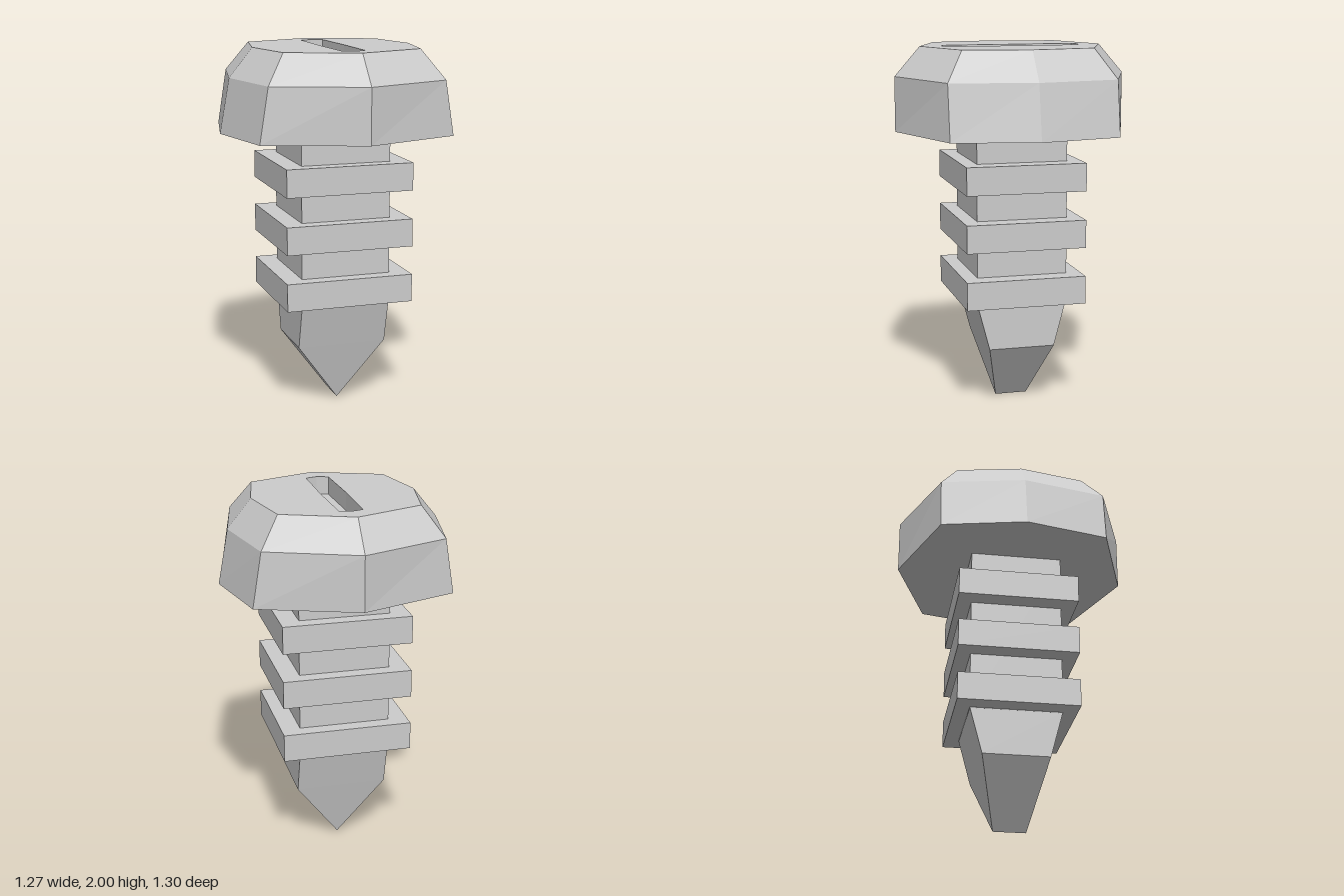
import * as THREE from 'three';

const material = new THREE.MeshStandardMaterial({ color: 0xcccccc, flatShading: true });

// Flat-faced loft through rings of [x, y, z], counter-clockwise from above.
// Rings running upward face outward; rings running downward make a cavity.
function loft(rings, capFirst, capLast) {
  const pos = [];
  const tri = (...corners) => {
    const [a, b, c] = corners.map((p) => new THREE.Vector3(...p));
    if (new THREE.Triangle(a, b, c).getArea() > 1e-7) pos.push(...corners.flat());
  };
  const n = rings[0].length;
  for (let r = 0; r < rings.length - 1; r++) {
    for (let i = 0; i < n; i++) {
      const j = (i + 1) % n, lo = rings[r], hi = rings[r + 1];
      tri(lo[i], lo[j], hi[j]);
      tri(lo[i], hi[j], hi[i]);
    }
  }
  const first = rings[0], last = rings[rings.length - 1];
  for (let i = 1; i < n - 1; i++) {
    if (capFirst) tri(first[0], first[i + 1], first[i]);
    if (capLast) tri(last[0], last[i], last[i + 1]);
  }
  const geo = new THREE.BufferGeometry();
  geo.setAttribute('position', new THREE.Float32BufferAttribute(pos, 3));
  geo.computeVertexNormals();
  return geo;
}

// Stretched octagon: side point x, corner (cx, cz), front point z
const octagon = (y, x, cx, cz, z) => [
  [x, y, 0], [cx, y, -cz], [0, y, -z], [-cx, y, -cz],
  [-x, y, 0], [-cx, y, cz], [0, y, z], [cx, y, cz],
];

const rectangle = (y, x, z) => [[x, y, z], [x, y, -z], [-x, y, -z], [-x, y, z]];

function addMesh(parent, name, geometry) {
  const mesh = new THREE.Mesh(geometry, material);
  mesh.name = name;
  parent.add(mesh);
  return mesh;
}

function addBlock(parent, name, width, depth, bottom, top) {
  const block = addMesh(parent, name, new THREE.BoxGeometry(width, top - bottom, depth));
  block.position.y = (bottom + top) / 2;
}

export function createModel() {
  const model = new THREE.Group();
  model.name = 'screw';

  // Faceted head with a slotted top
  const head = new THREE.Group();
  head.name = 'head';
  model.add(head);
  const rim = octagon(2, 0.45, 0.38, 0.358, 0.508);
  const slot = (y) => octagon(y, 0.07, 0.064, 0.368, 0.388);
  addMesh(head, 'headSides', loft([
    octagon(1.54, 0.635, 0.536, 0.457, 0.648),
    octagon(1.84, 0.58, 0.488, 0.457, 0.648),
    rim,
  ], true, false));

  const flat = (ring) => ring.map(([x, , z]) => new THREE.Vector2(x, -z));
  const topShape = new THREE.Shape(flat(rim));
  topShape.holes.push(new THREE.Path(flat(slot(2))));
  const topGeo = new THREE.ShapeGeometry(topShape).rotateX(-Math.PI / 2).translate(0, 2, 0);
  addMesh(head, 'headTop', topGeo);
  addMesh(head, 'driverSlot', loft([slot(2), slot(1.9)], false, true));

  // Square shank with three thread collars
  addBlock(model, 'shank', 0.505, 0.505, 0.6, 1.54);
  for (const [bottom, top] of [[0.603, 0.757], [0.916, 1.07], [1.229, 1.383]]) {
    addBlock(model, 'threadCollar', 0.716, 0.664, bottom, top);
  }

  // Chisel point ending in a short edge along z
  addMesh(model, 'point', loft([
    rectangle(0, 0, 0.09),
    rectangle(0.345, 0.252, 0.184),
    rectangle(0.603, 0.252, 0.252),
  ], false, true));

  return model;
}
